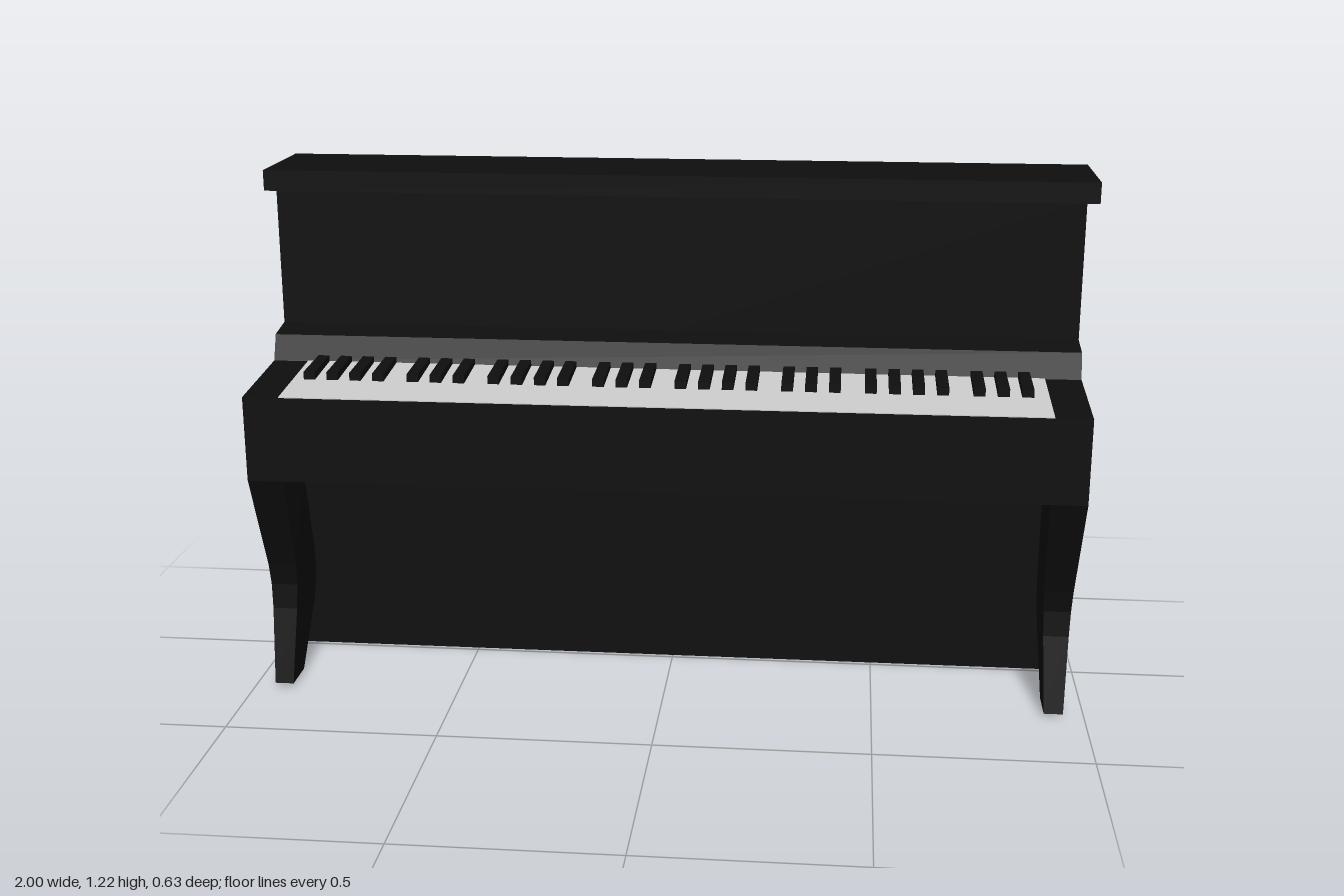
import * as THREE from 'three';

const black = new THREE.MeshStandardMaterial({ color: 0x0e0e0e, flatShading: true });
const grey = new THREE.MeshStandardMaterial({ color: 0xcccccc, flatShading: true });

// Side profile given as [z, y] points, swept along x and centred on x = cx
function sweep(name, points, width, cx = 0, material = black) {
  const shape = new THREE.Shape(points.map(([z, y]) => new THREE.Vector2(z, y)));
  const geometry = new THREE.ExtrudeGeometry(shape, { depth: width, bevelEnabled: false });
  geometry.rotateY(-Math.PI / 2).translate(cx + width / 2, 0, 0);
  const mesh = new THREE.Mesh(geometry, material);
  mesh.name = name;
  return mesh;
}

// Height of the gently sloping key surface
const keyY = z => 0.748 + (0.315 - z) * 0.086;

function makeLeg(name, side) {
  const leg = sweep(name, [
    [0.315, 0.546], [0.23, 0.305], [0.222, 0.25], [0.228, 0.19], [0.27, 0.01], [0.18, 0.01],
    [0.072, 0.16], [0.058, 0.205], [0.058, 0.24], [0.066, 0.285], [0.152, 0.525],
  ], 0.085);
  // Narrow the leg towards the foot
  const p = leg.geometry.attributes.position;
  for (let i = 0; i < p.count; i++) {
    const t = Math.min(1, p.getY(i) / 0.52);
    p.setX(i, p.getX(i) * (0.52 + 0.48 * t));
  }
  leg.geometry.computeVertexNormals();
  leg.position.x = side * 0.9275;
  return leg;
}

export function createModel() {
  const group = new THREE.Group();
  group.name = 'uprightPiano';

  // Case: lower part stands slightly forward of the upper panel
  group.add(sweep('case', [
    [-0.31, 0], [-0.012, 0], [-0.012, 0.51], [-0.04, 0.51], [-0.04, 1.18], [-0.31, 1.18],
  ], 1.94));
  group.add(sweep('lid', [[-0.315, 1.17], [-0.037, 1.17], [-0.037, 1.22], [-0.315, 1.22]], 2));

  // Key bed with the sloping fallboard behind the keys
  group.add(sweep('keyBed', [
    [0.315, 0.545], [0.315, 0.748], [0.06, keyY(0.06)], [0.036, 0.83],
    [-0.045, 0.844], [-0.045, 0.498],
  ], 1.94));

  // White keys as one thin sloping plate
  group.add(sweep('whiteKeys', [
    [0.314, keyY(0.314) - 0.005], [0.314, keyY(0.314) + 0.002],
    [0.06, keyY(0.06) + 0.002], [0.06, keyY(0.06) - 0.005],
  ], 1.77, 0, grey));

  // Black keys in alternating groups of four and three
  const blackKeys = new THREE.Group();
  blackKeys.name = 'blackKeys';
  const step = 0.0551;
  for (let octave = 0; octave < 4; octave++) {
    for (const offset of [0, 1, 2, 3, 4.5, 5.5, 6.5]) {
      const x = -0.845 + (octave * 8 + offset) * step;
      blackKeys.add(sweep('blackKey', [
        [0.192, keyY(0.192) - 0.003], [0.192, 0.779], [0.06, 0.786], [0.06, keyY(0.06) - 0.003],
      ], 0.027, x));
    }
  }
  group.add(blackKeys);

  group.add(makeLeg('leftLeg', 1), makeLeg('rightLeg', -1));
  return group;
}
